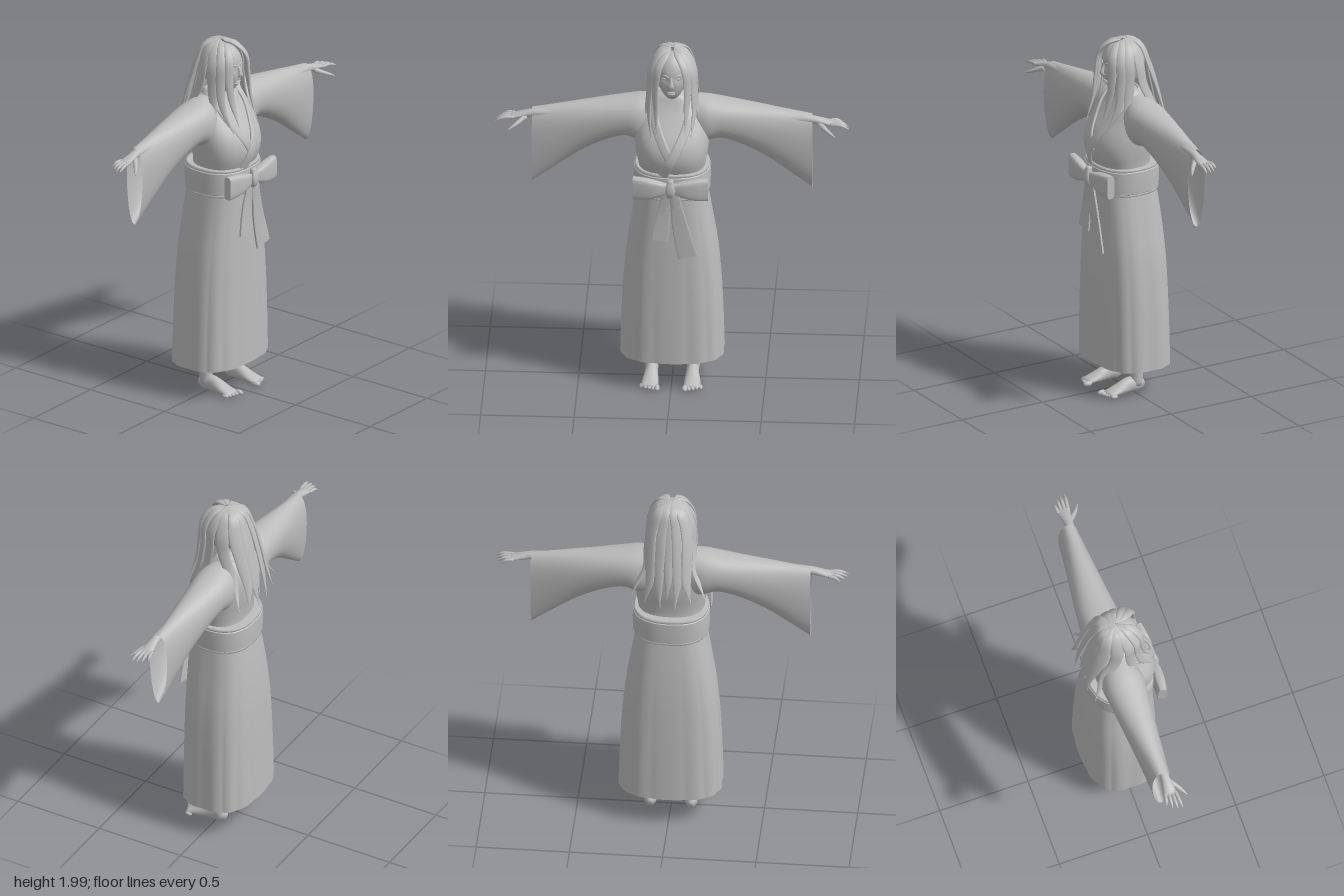
import * as THREE from 'three';
import { toCreasedNormals } from 'three/addons/utils/BufferGeometryUtils.js';

const V = (x, y, z) => new THREE.Vector3(x, y, z);
const UP = () => V(0, 1, 0);

// smooth interpolation through a list of numbers
function smooth(a, t) {
  const f = t * (a.length - 1), i = Math.min(Math.floor(f), a.length - 2), u = f - i;
  const b = a[i], c = a[i + 1], m0 = (c - a[Math.max(i - 1, 0)]) / 2;
  const m1 = (a[Math.min(i + 2, a.length - 1)] - b) / 2;
  const u2 = u * u, u3 = u2 * u;
  return b * (2 * u3 - 3 * u2 + 1) + m0 * (u3 - 2 * u2 + u) + c * (3 * u2 - 2 * u3) + m1 * (u3 - u2);
}

// superellipse section around c with half axes u and v
function ring(c, u, v, sides = 32, n = 2, wave = () => 1) {
  const e = x => Math.sign(x) * Math.abs(x) ** (2 / n);
  return Array.from({ length: sides }, (_, i) => {
    const a = i / sides * Math.PI * 2, k = wave(a);
    return c.clone().addScaledVector(u, e(Math.cos(a)) * k).addScaledVector(v, e(Math.sin(a)) * k);
  });
}

// skin over equal-sized rings, turned to face outwards
function loft(rings, caps = true) {
  const m = rings[0].length, pts = rings.flat(), idx = [];
  for (let r = 0; r < rings.length - 1; r++) for (let i = 0; i < m; i++) {
    const a = r * m + i, b = r * m + (i + 1) % m;
    idx.push(a, b, a + m, b, b + m, a + m);
  }
  if (caps) for (const [r, flip] of [[0, true], [rings.length - 1, false]]) {
    const c = pts.length;
    pts.push(rings[r].reduce((s, p) => s.add(p), V(0, 0, 0)).divideScalar(m));
    for (let i = 0; i < m; i++) {
      const a = r * m + i, b = r * m + (i + 1) % m;
      idx.push(c, flip ? b : a, flip ? a : b);
    }
  }
  const mid = new THREE.Box3().setFromPoints(pts).getCenter(V(0, 0, 0));
  let vol = 0;
  for (let i = 0; i < idx.length; i += 3) {
    const [a, b, c] = [0, 1, 2].map(k => pts[idx[i + k]].clone().sub(mid));
    vol += a.dot(b.cross(c));
  }
  if (vol < 0) idx.reverse();
  const g = new THREE.BufferGeometry().setFromPoints(pts);
  g.setIndex(idx);
  g.computeVertexNormals();
  return g;
}

// section of half widths ws and half depths ds carried along a curve
function sweep(points, ws, ds, up = UP, { n = 2, seg = 16, sides = 10 } = {}) {
  const curve = new THREE.CatmullRomCurve3(points.map(p => V(...p))), rings = [];
  for (let i = 0; i <= seg; i++) {
    const t = i / seg, p = curve.getPoint(t), tan = curve.getTangent(t);
    const side = tan.clone().cross(up(p)).normalize(), out = side.clone().cross(tan).normalize();
    rings.push(ring(p, side.multiplyScalar(smooth(ws, t)), out.multiplyScalar(smooth(ds, t)), sides, n));
  }
  return loft(rings);
}

// dense rows from key rows; body rows are [y, half width, front z, back z]
function dense(keys, count) {
  return Array.from({ length: count + 1 }, (_, i) => keys[0].map((_, k) => smooth(keys.map(r => r[k]), i / count)));
}
const bodyRing = ([y, w, f, b], sides, n, wave) =>
  ring(V(0, y, (f + b) / 2), V(w, 0, 0), V(0, 0, (f - b) / 2), sides, n, wave);

export function createModel() {
  const model = new THREE.Group();
  const grey = new THREE.MeshStandardMaterial({ color: 0xbcbcbc, side: THREE.DoubleSide });
  grey.name = 'plain grey';
  const add = (name, geo) => {
    const mesh = new THREE.Mesh(geo, grey);
    mesh.name = name;
    model.add(mesh);
    return mesh;
  };
  const blob = (name, pos, scale) => add(name, new THREE.SphereGeometry(1, 16, 12).scale(...scale).translate(...pos));

  // robe body
  const torso = dense([[1.27, .175, .155, -.13], [1.32, .18, .178, -.125], [1.38, .19, .195, -.13],
    [1.44, .197, .192, -.14], [1.5, .2, .168, -.145], [1.57, .198, .12, -.145], [1.63, .18, .08, -.13],
    [1.67, .14, .058, -.11], [1.7, .09, .045, -.08], [1.715, .045, .035, -.05]], 36);
  add('robeBody', loft(torso.map(r => bodyRing(r, 48, 2.4))));
  const chest = (x, y) => {
    const [, w, f, b] = torso.find(r => r[0] >= y);
    return (f + b) / 2 + (f - b) / 2 * Math.max(0, 1 - Math.abs(x / w) ** 2.4) ** (1 / 2.4);
  };

  // pleated skirt, open at the hem
  const skirt = dense([[1.18, .185, .178, -.155], [1.0, .214, .182, -.178], [.8, .245, .186, -.195],
    [.6, .263, .189, -.203], [.4, .273, .191, -.208], [.17, .28, .192, -.212]], 24);
  add('skirt', loft(skirt.map(r => bodyRing(r, 140, 2.7,
    a => 1 + .022 * (1.25 - r[0]) * (Math.abs(Math.sin(7 * a)) - .9))), false));

  // sash with trims
  const sash = [[1.165, .198], [1.17, .204], [1.235, .206], [1.29, .204], [1.295, .198]];
  add('sash', toCreasedNormals(loft(sash.map(([y, w]) => bodyRing([y, w, w - .014, .03 - w], 64, 2.4))), .6));
  for (const y of [1.16, 1.3]) {
    const trim = [[-.009, .192], [-.006, .2], [.006, .2], [.009, .192]];
    add('sashTrim', loft(trim.map(([d, w]) => bodyRing([y + d, w, w - .014, .03 - w], 64, 2.4))));
  }

  // bow and its two tails
  const bowUp = () => V(0, 0, 1);
  for (const s of [-1, 1]) {
    add('bowLoop', toCreasedNormals(sweep([[s * .01, 1.24, .208], [s * .07, 1.238, .206], [s * .13, 1.236, .202],
      [s * .2, 1.236, .194]], [.028, .046, .06, .065], [.016, .026, .028, .024], bowUp, { n: 4, sides: 24 }), .7));
  }
  add('bowKnot', sweep([[0, 1.195, .212], [0, 1.22, .218], [0, 1.25, .218], [0, 1.295, .212]],
    [.018, .024, .024, .016], [.014, .02, .02, .014], bowUp, { n: 3, sides: 20 }));
  add('bowTail', toCreasedNormals(sweep([[-.015, 1.21, .205], [-.038, 1.08, .2], [-.058, .925, .205]],
    [.026, .038, .048], [.008, .007, .007], bowUp, { n: 7, sides: 20 }), .7));
  add('bowTail', toCreasedNormals(sweep([[.02, 1.21, .21], [.05, 1.02, .205], [.093, .83, .208]],
    [.026, .042, .054], [.008, .007, .007], bowUp, { n: 7, sides: 20 }), .7));

  // crossed collar bands
  for (const s of [-1, 1]) {
    const lift = s > 0 ? .009 : .003;
    const front = [[.1, 1.64], [.075, 1.55], [.032, 1.46], [-.01, 1.385], [-.045, 1.29]].slice(0, s > 0 ? 5 : 4);
    add('collar', sweep([[0, 1.695, -.088], [s * .065, 1.695, -.07], [s * .1, 1.69, -.015],
      ...front.map(([x, y]) => [s * x, y, chest(x, y) + lift])],
      [.022, .024, .026, .026, .026], [.009, .009, .008], p => V(p.x * .5, .03, p.z + .04), { n: 3, seg: 36, sides: 12 }));
  }

  // wide sleeves: rows of x, top, bottom, front z, back z
  const sleeve = dense([[.08, 1.695, 1.42, .06, -.12], [.17, 1.69, 1.425, .088, -.138], [.25, 1.677, 1.452, .084, -.136],
    [.36, 1.66, 1.42, .077, -.125], [.5, 1.64, 1.345, .07, -.107], [.63, 1.62, 1.25, .063, -.088],
    [.75, 1.602, 1.16, .055, -.07]], 28);
  for (const s of [-1, 1]) {
    add('sleeve', loft(sleeve.map(([x, t, b, f, k]) => {
      const r = ring(V(s * x, (t + b) / 2, (f + k) / 2), V(0, (t - b) / 2, 0), V(0, 0, (f - k) / 2), 32, 2.2);
      const narrow = .35 * Math.max(0, (x - .2) / .55);
      for (const p of r) p.z = (p.z + .015) * (1 - narrow * (t - p.y) / (t - b)) - .015;
      return r;
    }), false));

    // forearm, palm and fingers
    add('hand', sweep([[s * .6, 1.58, 0], [s * .75, 1.576, .005], [s * .8, 1.567, .005], [s * .862, 1.556, .004]],
      [.032, .024, .028, .034], [.03, .022, .018, .01], UP, { sides: 16 }));
    [.945, .942, .93, .908].forEach((tip, i) => add('finger', sweep([[s * .845, 1.558, .03 - .018 * i],
      [s * (tip + .855) / 2, 1.557, .036 - .022 * i], [s * tip, 1.54, .042 - .026 * i]],
      [.0095, .0095, .0085, .003], [.0095, .0095, .0085, .003], UP, { seg: 10, sides: 8 })));
    add('thumb', sweep([[s * .785, 1.56, .018], [s * .83, 1.535, .06], [s * .875, 1.513, .092]],
      [.016, .013, .01, .003], [.014, .012, .009, .003], UP, { seg: 10, sides: 8 }));

    // legs, feet and toes
    add('leg', sweep([[s * .11, .6, -.02], [s * .115, .3, -.02], [s * .115, .15, -.018], [s * .113, .04, -.015]],
      [.07, .052, .036, .034], [.07, .052, .036, .036], () => V(0, 0, 1), { sides: 16 }));
    add('foot', sweep([[s * .11, .03, -.06], [s * .11, .04, -.035], [s * .11, .044, .03], [s * .112, .028, .1],
      [s * .114, .016, .165]], [.015, .033, .034, .043, .046], [.02, .039, .043, .028, .012], UP, { sides: 16 }));
    for (let i = 0; i < 5; i++) {
      const r = i ? .0115 : .015;
      blob('toe', [s * (.074 + .021 * i), r, .174 - .007 * i], [r, r, r * 1.75]);
    }
  }

  // neck and head
  add('neck', sweep([[0, 1.6, -.02], [0, 1.68, -.005], [0, 1.78, .015]], [.06, .047, .048], [.06, .047, .05],
    () => V(0, 0, 1), { sides: 20 }));
  const head = new THREE.SphereGeometry(1, 40, 28), pos = head.attributes.position;
  for (let i = 0; i < pos.count; i++) {
    let [x, y, z] = [pos.getX(i), pos.getY(i), pos.getZ(i)];
    if (z > 0) {
      z = z ** .75;
      z -= .1 * Math.exp(-(((Math.abs(x) - .4) / .2) ** 2) - ((y - .12) / .13) ** 2);
    }
    if (y < 0) x *= 1 + .28 * y;
    pos.setXYZ(i, x * .086, y * .135, z * .1);
  }
  head.computeVertexNormals();
  add('head', head.translate(0, 1.835, .02));

  // facial features
  add('nose', sweep([[0, 1.862, .112], [0, 1.835, .125], [0, 1.813, .13], [0, 1.803, .114]],
    [.006, .009, .015, .009], [.007, .009, .01, .005], () => V(0, 0, 1)));
  blob('upperLip', [0, 1.772, .111], [.023, .005, .008]);
  blob('lowerLip', [0, 1.762, .109], [.02, .006, .009]);
  for (const s of [-1, 1]) {
    blob('eye', [s * .033, 1.85, .1], [.016, .008, .008]);
    add('brow', sweep([[s * .012, 1.866, .117], [s * .034, 1.874, .11], [s * .056, 1.866, .094]],
      [.003, .005, .002], [.004, .005, .002], () => V(0, 0, 1)));
  }

  // hair cap over the back of the head
  add('hairCap', new THREE.SphereGeometry(1, 32, 20, Math.PI - .3, Math.PI + .6, 0, Math.PI * .72)
    .scale(.114, .132, .112).translate(0, 1.857, -.005));

  // long locks from crown to tip, with half width
  const locks = [
    [.024, [.01, 1.98, .01], [.035, 1.968, .065], [.072, 1.91, .108], [.086, 1.8, .118], [.082, 1.68, .135], [.075, 1.54, .18]],
    [.026, [.01, 1.985, 0], [.06, 1.966, .045], [.104, 1.89, .078], [.116, 1.78, .082], [.122, 1.66, .1], [.105, 1.51, .165]],
    [.03, [.01, 1.988, -.01], [.07, 1.962, .005], [.116, 1.88, .03], [.126, 1.76, .035], [.135, 1.66, .05], [.155, 1.58, .075]],
    [.034, [.01, 1.988, -.02], [.07, 1.96, -.03], [.114, 1.87, -.035], [.125, 1.75, -.055], [.138, 1.62, -.12], [.2, 1.48, -.19]],
    [.036, [.01, 1.988, -.025], [.06, 1.958, -.075], [.092, 1.86, -.105], [.1, 1.72, -.15], [.1, 1.58, -.19], [.125, 1.46, -.21]],
    [.034, [.005, 1.988, -.025], [.026, 1.962, -.085], [.045, 1.87, -.12], [.05, 1.74, -.158], [.05, 1.58, -.196], [.04, 1.43, -.224]],
  ];
  const fromHead = p => V(p.x, p.y - Math.min(p.y, 1.85), p.z);
  const lock = (w, path) => add('hairLock', sweep(path, [.3, .85, 1, .95, .7, .04].map(k => k * w),
    [.005, .009, .01, .009, .007, .001], fromHead, { seg: 28, sides: 12 }));
  for (const s of [-1, 1]) for (const [w, ...path] of locks) lock(w, path.map(([x, y, z]) => [s * x, y, z]));
  lock(.03, [[0, 1.988, -.025], [0, 1.96, -.085], [0, 1.87, -.118], [0, 1.74, -.152], [0, 1.6, -.185], [.005, 1.48, -.205]]);

  return model;
}
